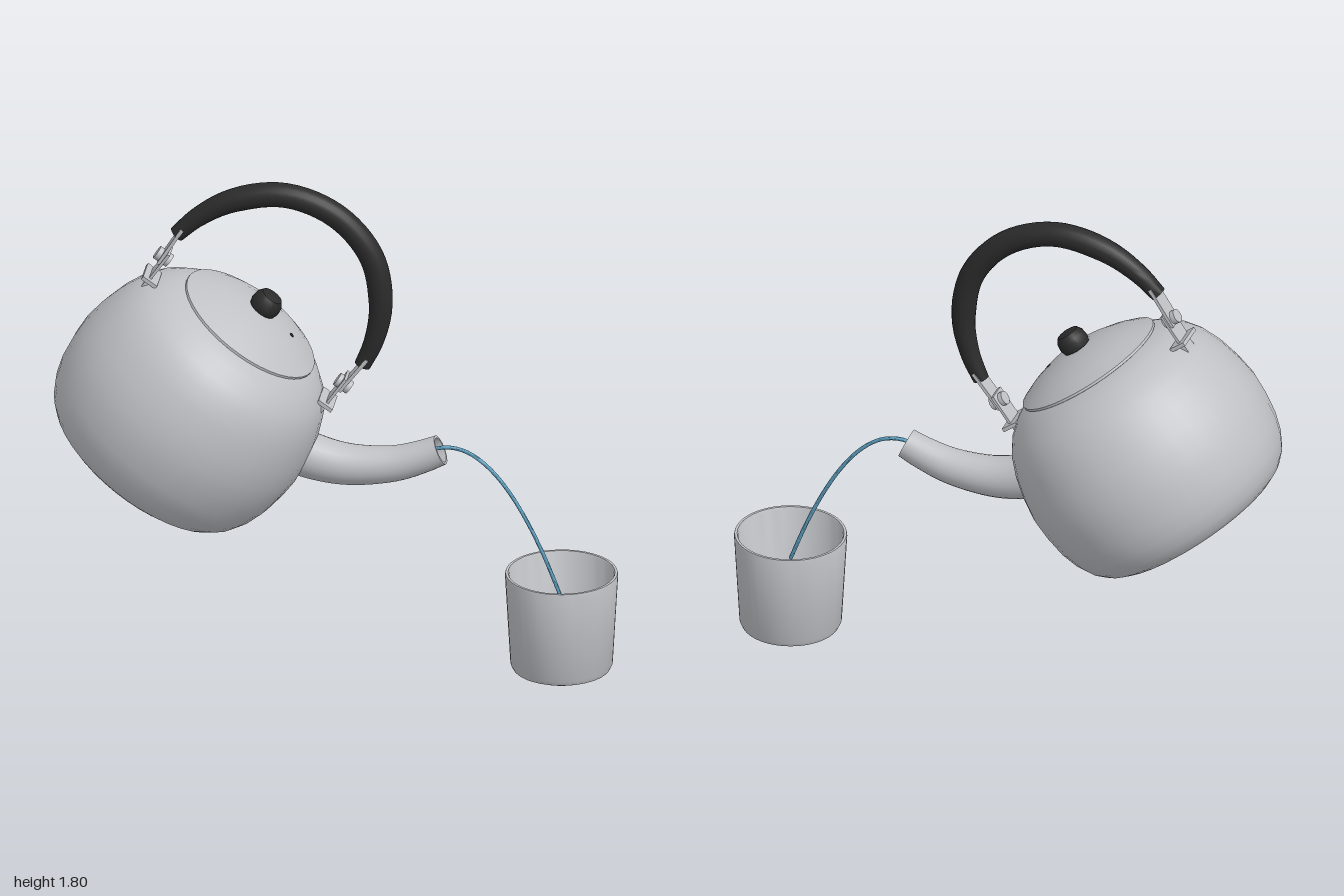
import * as THREE from 'three';
import { toCreasedNormals } from 'three/addons/utils/BufferGeometryUtils.js';

const V = (x, y) => new THREE.Vector3(x, y, 0);

function mesh(name, geometry, material, parent) {
  const m = new THREE.Mesh(geometry, material);
  m.name = name;
  parent.add(m);
  return m;
}

function lathe(points, segments, crease = 0.6) {
  const g = new THREE.LatheGeometry(points.map(([r, y]) => new THREE.Vector2(r, y)), segments);
  return toCreasedNormals(g, crease);
}

// Sweeps circles along a curve in the xy plane; rows are [position 0..1, radius]
function sweep(curve, rows, sides) {
  const pos = [], idx = [];
  rows.forEach(([t, r], i) => {
    const p = curve.getPointAt(t), d = curve.getTangentAt(t);
    for (let j = 0; j < sides; j++) {
      const a = (j / sides) * Math.PI * 2, c = Math.cos(a) * r;
      pos.push(p.x - d.y * c, p.y + d.x * c, Math.sin(a) * r);
      if (i === rows.length - 1) continue;
      const k = (j + 1) % sides;
      const A = i * sides + j, C = i * sides + k, B = A + sides, D = C + sides;
      idx.push(A, C, B, C, D, B);
    }
  });
  const g = new THREE.BufferGeometry();
  g.setAttribute('position', new THREE.Float32BufferAttribute(pos, 3));
  g.setIndex(idx);
  return toCreasedNormals(g, 0.7);
}

const steps = (n, from, to, radius) => Array.from({ length: n + 1 }, (_, i) => {
  const t = from + (to - from) * i / n;
  return [t, radius(t)];
});

export function createModel() {
  const model = new THREE.Group();
  model.name = 'pouringKettle';
  const steel = new THREE.MeshStandardMaterial({ color: 0xbfc1c5 });
  const black = new THREE.MeshStandardMaterial({ color: 0x2b2b2b });
  const water = new THREE.MeshStandardMaterial({ color: 0x5b9dbd });

  // Kettle, tilted to pour
  const kettle = new THREE.Group();
  kettle.name = 'kettle';
  kettle.position.set(-0.696, 0.693, 0);
  kettle.rotation.z = -THREE.MathUtils.degToRad(35);
  model.add(kettle);

  mesh('body', lathe([
    [0, 0.012], [0.29, 0.012], [0.3, 0], [0.335, 0.002], [0.37, 0.02], [0.405, 0.055],
    [0.432, 0.105], [0.452, 0.17], [0.463, 0.25], [0.466, 0.32], [0.455, 0.40], [0.435, 0.48],
    [0.407, 0.55], [0.372, 0.6], [0.325, 0.641], [0.265, 0.678], [0, 0.69]
  ], 40), steel, kettle);

  // Domed lid with knob and steam hole
  mesh('lid', lathe([
    [0.262, 0.672], [0.273, 0.677], [0.273, 0.686], [0.22, 0.712], [0.15, 0.737], [0.075, 0.752], [0, 0.757]
  ], 40), steel, kettle);
  mesh('knob', lathe([
    [0.026, 0.73], [0.03, 0.75], [0.05, 0.757], [0.056, 0.775], [0.053, 0.8], [0.04, 0.82], [0.02, 0.826], [0, 0.827]
  ], 16), black, kettle);
  const hole = mesh('steamHole', new THREE.CylinderGeometry(0.008, 0.008, 0.006, 12), black, kettle);
  hole.position.set(0.14, 0.739, 0);
  hole.rotation.z = -0.25;

  // Hinge brackets on both sides
  for (const s of [-1, 1]) {
    const bracket = new THREE.Group();
    bracket.name = s < 0 ? 'rearBracket' : 'frontBracket';
    bracket.position.set(s * 0.38, 0.615, 0);
    kettle.add(bracket);
    const box = (name, w, h, d, x, y, lean = 0) => {
      const b = mesh(name, new THREE.BoxGeometry(w, h, d), steel, bracket);
      b.position.set(s * x, y, 0);
      b.rotation.z = -s * lean;
    };
    box('footPlate', 0.06, 0.014, 0.12, 0, 0);
    box('footBlock', 0.03, 0.04, 0.06, -0.005, -0.022);
    box('lowerStrap', 0.01, 0.12, 0.08, 0.003, 0.06);
    box('upperStrap', 0.012, 0.16, 0.066, 0.016, 0.145, 0.05);
    const rivet = mesh('rivet', new THREE.CylinderGeometry(0.025, 0.025, 0.056, 16), steel, bracket);
    rivet.position.set(s * 0.01, 0.088, 0);
    rivet.rotation.z = Math.PI / 2;
  }

  // Bail handle, thicker in the middle
  const right = [[0.402, 0.803], [0.382, 0.9], [0.322, 1.03], [0.187, 1.164]];
  const bail = new THREE.CatmullRomCurve3([
    ...right.map(([x, y]) => V(-x, y)), V(0, 1.213), ...right.reverse().map(([x, y]) => V(x, y))
  ]);
  const grip = t => 0.029 + 0.015 * Math.min(1, 1.5 * Math.sin(Math.PI * t));
  mesh('handle', sweep(bail, [[0, 0], ...steps(40, 0, 1, grip), [1, 0]], 20), black, kettle);

  // Hollow curved spout
  const spoutLine = new THREE.CatmullRomCurve3([
    V(-0.22, 0.81), V(-0.09, 0.762), V(0, 0.741), V(0.083, 0.736), V(0.21, 0.75), V(0.312, 0.784), V(0.371, 0.811)
  ]);
  const outer = t => 0.09 - 0.036 * t;
  mesh('spout', sweep(spoutLine, [
    ...steps(24, 0, 1, outer), ...steps(14, 1, 0.3, t => outer(t) - 0.009), [0.3, 0]
  ], 24), steel, model);

  // Falling stream
  const stream = new THREE.CatmullRomCurve3(
    [0.34, 0.37, 0.4, 0.45, 0.5, 0.56, 0.62, 0.68, 0.74, 0.8].map(x => V(x, 0.822 - 3.47 * (x - 0.4) ** 2)));
  mesh('waterStream', sweep(stream, [[0, 0], ...steps(36, 0, 1, () => 0.007), [1, 0]], 10), water, model);

  // Cup with a rounded inside
  const cup = mesh('cup', lathe([
    [0, 0], [0.155, 0], [0.172, 0.008], [0.18, 0.025], [0.199, 0.36], [0.197, 0.368], [0.188, 0.368],
    [0.184, 0.36], [0.168, 0.07], [0.15, 0.04], [0.11, 0.026], [0, 0.022]
  ], 40), steel, model);
  cup.position.x = 0.8;

  return model;
}
